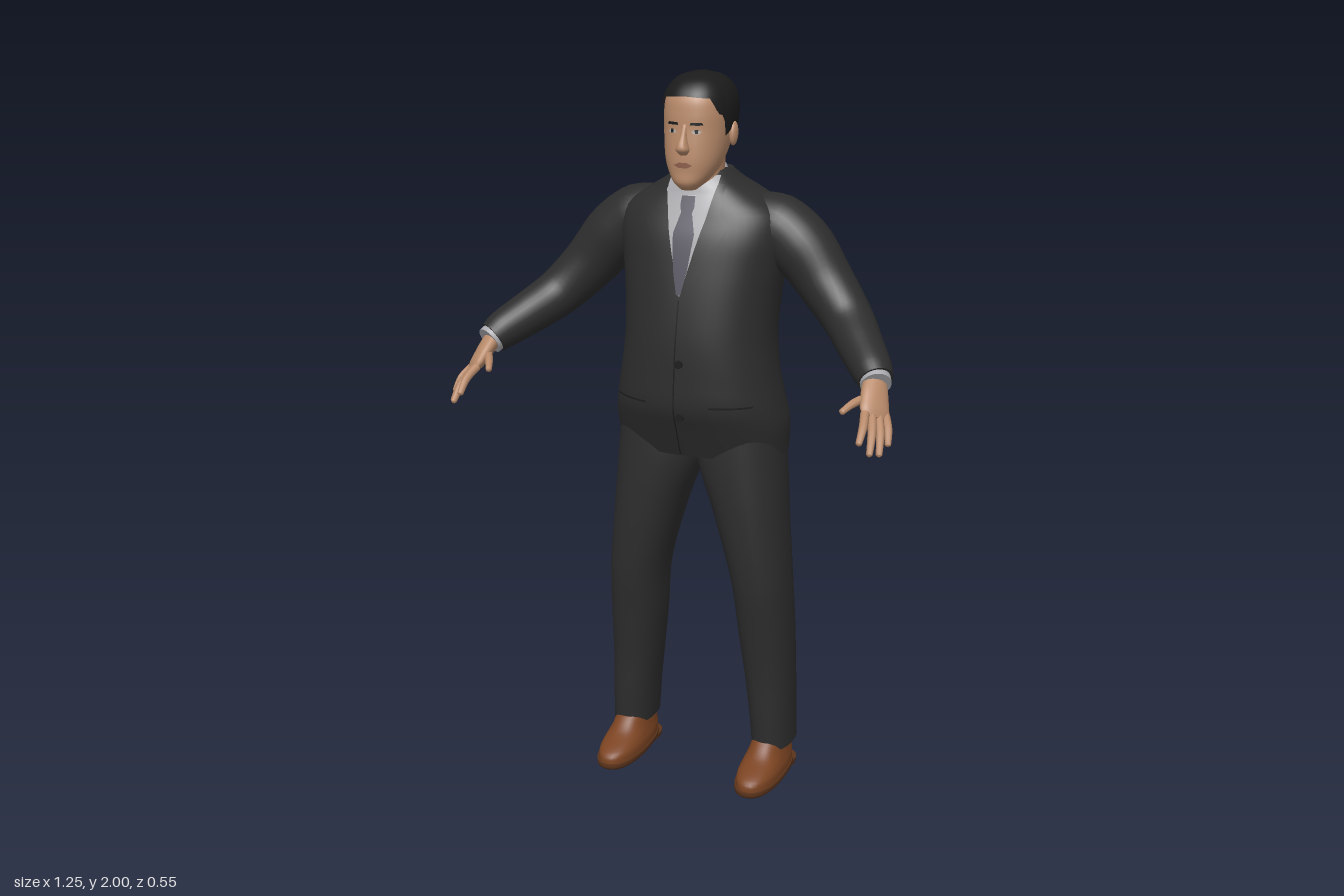
import * as THREE from 'three';

const mat = (name, color) => Object.assign(new THREE.MeshStandardMaterial({ color }), { name });
const V = (x, y, z) => new THREE.Vector3(x, y, z);

// Smooth interpolation of a profile of rows [y, halfWidth, zFront, zBack, xCentre]
function at(rows, y) {
  const last = rows.length - 1;
  let i = 0;
  while (i < last - 1 && y > rows[i + 1][0]) i++;
  const a = rows[i], b = rows[i + 1], p = rows[Math.max(i - 1, 0)], q = rows[Math.min(i + 2, last)];
  const h = b[0] - a[0], t = THREE.MathUtils.clamp((y - a[0]) / h, 0, 1), t2 = t * t, t3 = t2 * t;
  return [1, 2, 3, 4].map(k => {
    const A = a[k] ?? 0, B = b[k] ?? 0, m0 = (B - (p[k] ?? 0)) / (b[0] - p[0]), m1 = ((q[k] ?? 0) - A) / (q[0] - a[0]);
    return (2 * t3 - 3 * t2 + 1) * A + (t3 - 2 * t2 + t) * h * m0 + (3 * t2 - 2 * t3) * B + (t3 - t2) * h * m1;
  });
}

const N = 2.3; // roundness of every horizontal section
const pw = v => Math.sign(v) * Math.abs(v) ** (2 / N);
function surf(rows, y, a) {
  const [rx, zf, zb, cx] = at(rows, y);
  return V(cx + rx * pw(Math.sin(a)), y, (zf + zb) / 2 + (zf - zb) / 2 * pw(Math.cos(a)));
}
function frontZ(rows, x, y) {
  const [rx, zf, zb, cx] = at(rows, y);
  const k = Math.min(Math.abs(x - cx) / rx, 1);
  return (zf + zb) / 2 + (zf - zb) / 2 * (1 - k ** N) ** (1 / N);
}

// Skin over closed rings of points, with flat end caps
function loft(rings, capped = true) {
  const pos = [], idx = [], n = rings[0].length;
  rings.forEach(r => r.forEach(p => pos.push(p.x, p.y, p.z)));
  for (let i = 0; i < rings.length - 1; i++) for (let j = 0; j < n; j++) {
    const a = i * n + j, b = i * n + (j + 1) % n;
    idx.push(a, b, a + n, b, b + n, a + n);
  }
  if (capped) [rings[0], rings[rings.length - 1]].forEach((r, end) => {
    const o = pos.length / 3, c = V(0, 0, 0);
    r.forEach(p => { pos.push(p.x, p.y, p.z); c.addScaledVector(p, 1 / n); });
    pos.push(c.x, c.y, c.z);
    for (let j = 0; j < n; j++) {
      const k = o + (j + 1) % n;
      idx.push(o + n, end ? o + j : k, end ? k : o + j);
    }
  });
  return geometry(pos, idx);
}
function geometry(pos, idx) {
  const g = new THREE.BufferGeometry();
  g.setAttribute('position', new THREE.Float32BufferAttribute(pos, 3));
  g.setIndex(idx);
  g.computeVertexNormals();
  return g;
}

const circle = (n, f) => Array.from({ length: n }, (_, j) => f(j / n * Math.PI * 2));
function body(rows, steps = 30, sides = 40) {
  const y0 = rows[0][0], y1 = rows[rows.length - 1][0];
  return loft(Array.from({ length: steps + 1 }, (_, i) => {
    const y = y0 + (y1 - y0) * i / steps;
    return circle(sides, a => surf(rows, y, a));
  }));
}

// Tapered limb through points [x, y, z, ru, rv]; ref sets the direction of ru
function sweep(pts, ref = V(0, 1, 0), steps = 20, sides = 20) {
  const curve = new THREE.CatmullRomCurve3(pts.map(p => V(p[0], p[1], p[2])));
  return loft(Array.from({ length: steps + 1 }, (_, i) => {
    const s = i / steps, f = s * (pts.length - 1), k = Math.min(Math.floor(f), pts.length - 2);
    const r = q => THREE.MathUtils.lerp(pts[k][q] ?? pts[k][3], pts[k + 1][q] ?? pts[k + 1][3], f - k);
    const c = curve.getPoint(s), t = curve.getTangent(s);
    const u = ref.clone().addScaledVector(t, -ref.dot(t)).normalize(), v = t.clone().cross(u);
    return circle(sides, a => c.clone().addScaledVector(u, r(3) * Math.cos(a)).addScaledVector(v, r(4) * Math.sin(a)));
  }));
}

// Thin panel lying on the front of a body; edges are rows [y, xLeft, xRight]
function panel(rows, edges, off, nx = 8, ny = 24) {
  const pos = [], idx = [], y0 = edges[0][0], y1 = edges[edges.length - 1][0];
  for (let i = 0; i <= ny; i++) {
    const y = y0 + (y1 - y0) * i / ny;
    let k = 0;
    while (k < edges.length - 2 && y > edges[k + 1][0]) k++;
    const e = edges[k], f = edges[k + 1], t = (y - e[0]) / (f[0] - e[0]);
    for (let j = 0; j <= nx; j++) {
      const x = THREE.MathUtils.lerp(e[1] + (f[1] - e[1]) * t, e[2] + (f[2] - e[2]) * t, j / nx);
      pos.push(x, y, frontZ(rows, x, y) + off);
      if (i < ny && j < nx) {
        const a = i * (nx + 1) + j, b = a + nx + 1;
        idx.push(a, a + 1, b, a + 1, b + 1, b);
      }
    }
  }
  return geometry(pos, idx);
}
function mirrored(g) {
  const m = g.clone().scale(-1, 1, 1), ix = m.index;
  for (let i = 0; i < ix.count; i += 3) {
    const t = ix.getX(i);
    ix.setX(i, ix.getX(i + 1));
    ix.setX(i + 1, t);
  }
  return m;
}

const JACKET = [[0.975, .24, .04, -.25], [1.06, .244, .075, -.262], [1.12, .234, .098, -.26], [1.2, .219, .1, -.246],
  [1.3, .208, .096, -.252], [1.4, .212, .083, -.266], [1.5, .224, .064, -.27], [1.58, .235, .044, -.268],
  [1.64, .222, .02, -.255], [1.69, .15, 0, -.225], [1.72, .1, -.01, -.195], [1.745, .075, -.03, -.168]];
const LEG = [[.09, .058, -.018, -.204, .218], [.2, .062, -.012, -.203, .213], [.3, .067, -.008, -.2, .206],
  [.45, .075, .01, -.195, .196], [.6, .08, .03, -.19, .185], [.8, .1, .04, -.205, .15],
  [.95, .121, .04, -.22, .119], [1.05, .115, .035, -.215, .115]];
const HEAD = [[1.703, .02, .035, -.01], [1.72, .04, .052, -.05], [1.75, .062, .053, -.09], [1.78, .074, .054, -.12],
  [1.82, .082, .051, -.15], [1.86, .086, .046, -.165], [1.9, .088, .043, -.172], [1.94, .082, .034, -.168],
  [1.97, .062, .008, -.145], [1.985, .03, -.03, -.1]];
const HAIR = [[1.78, .07, .03, -.155], [1.82, .086, .047, -.176], [1.86, .092, .05, -.185], [1.9, .095, .05, -.188],
  [1.94, .09, .042, -.184], [1.97, .074, .021, -.165], [1.99, .048, -.012, -.13], [2, .008, -.06, -.08]];
const HAIRLINE = [[0, 1.945], [.7, 1.94], [.95, 1.9], [1.15, 1.895], [1.25, 1.84], [1.45, 1.85], [1.6, 1.875], [1.85, 1.82], [2.1, 1.79], [3.15, 1.782]];

export function createModel() {
  const model = new THREE.Group();
  model.name = 'manInSuit';
  const suit = mat('suitCharcoal', 0x2d2d2d), trim = mat('suitTrim', 0x1d1d1d), hairMat = mat('hairBlack', 0x1b1b1c);
  const skin = mat('skin', 0xb88a6a), shirt = mat('shirtGrey', 0xa9a9ad), tie = mat('tieGrey', 0x54525e);
  const shoe = mat('shoeBrown', 0x7c4422), sole = mat('soleBrown', 0x5a331b), lip = mat('lips', 0x8f5f4c), eye = mat('eyeWhite', 0xb5aaa2);

  const add = (name, g, m) => {
    const mesh = new THREE.Mesh(g, m);
    mesh.name = name;
    model.add(mesh);
  };
  const pair = (name, g, m) => {
    add(name + 'Left', g, m);
    add(name + 'Right', mirrored(g), m);
  };

  // Jacket with shirt front, tie, lapels, flaps and buttons
  add('jacket', body(JACKET, 50, 56), suit);
  add('shirtFront', panel(JACKET, [[1.43, -.002, .002], [1.6, -.047, .047], [1.7, -.07, .07], [1.735, -.068, .068]], .004), shirt);
  add('tie', panel(JACKET, [[1.435, -.006, .006], [1.5, -.02, .02], [1.59, -.03, .03], [1.645, -.015, .015], [1.65, -.018, .018], [1.685, -.024, .024]], .011), tie);
  pair('shirtCollarWing', panel(JACKET, [[1.625, .036, .038], [1.66, .02, .055], [1.7, .018, .068]], .013), shirt);
  pair('lapel', panel(JACKET, [[1.42, 0, .012], [1.6, .046, .108], [1.625, .053, .118], [1.635, .055, .09], [1.715, .07, .088]], .009), suit);
  pair('pocketFlap', panel(JACKET, [[1.1, .095, .19], [1.135, .09, .195]], .008), suit);
  pair('pocketSeam', panel(JACKET, [[1.134, .09, .195], [1.139, .09, .195]], .009, 8, 1), trim);
  add('frontSeam', panel(JACKET, [[.98, -.014, -.01], [1.1, -.012, -.008], [1.42, -.003, .001]], .003, 1), trim);
  for (const y of [1.1, 1.25]) {
    const g = new THREE.CylinderGeometry(.011, .011, .008, 14).rotateX(Math.PI / 2);
    add('button', g.translate(.006, y, frontZ(JACKET, 0, y) + .003), trim);
  }
  add('backVent', new THREE.BoxGeometry(.005, .15, .008).translate(0, 1.06, -.26), trim);

  // Arms, cuffs and hands
  pair('sleeve', sweep([[.12, 1.61, -.12, .075], [.2, 1.592, -.125, .09], [.27, 1.543, -.12, .088], [.345, 1.455, -.105, .076],
    [.42, 1.375, -.065, .067], [.48, 1.325, .01, .06], [.53, 1.286, .075, .053], [.548, 1.268, .1, .046]], undefined, 36, 28), suit);
  pair('cuff', sweep([[.54, 1.277, .088, .041], [.553, 1.261, .113, .04]], undefined, 2), shirt);
  const across = V(-.6, .22, .77);
  pair('palm', sweep([[.545, 1.272, .095, .032, .025], [.556, 1.24, .132, .04, .022], [.567, 1.207, .165, .044, .018],
    [.573, 1.192, .18, .036, .01]], across, 14), skin);
  const tips = [[.615, 1.135, .203], [.603, 1.118, .237], [.586, 1.125, .264], [.56, 1.152, .272]];
  const digit = (name, a, b, c) => pair(name, sweep([[...a, .012], [...b, .011], [...c, .008],
    [c[0] + (c[0] - b[0]) * .08, c[1] + (c[1] - b[1]) * .08, c[2] + (c[2] - b[2]) * .08, .003]], across, 12, 10), skin);
  tips.forEach((t, i) => {
    const base = V(.57, 1.201, .17).addScaledVector(across, -.032 + i * .0213);
    const mid = base.clone().lerp(V(...t), .55).add(V(.004, .006, .002));
    digit('finger', base.toArray(), mid.toArray(), t);
  });
  digit('thumb', [.546, 1.237, .137], [.517, 1.228, .185], [.498, 1.213, .222]);

  // Trousers and shoes
  pair('trouserLeg', body(LEG, 40), suit);
  pair('shoeUpper', body([[.018, .06, .116, -.19, .215], [.045, .06, .111, -.192, .215], [.06, .056, .085, -.19, .215],
    [.08, .051, .03, -.186, .215], [.115, .045, -.015, -.18, .215]], 16), shoe);
  pair('sole', body([[.006, .06, .115, -.19, .215], [.012, .064, .122, -.194, .215], [.024, .064, .123, -.194, .215]], 4), sole);
  pair('heel', body([[0, .056, -.08, -.192, .215], [.015, .058, -.08, -.194, .215]], 1), sole);

  // Neck and tilted shirt collar
  add('neck', body([[1.64, .064, -.005, -.14], [1.72, .061, .002, -.138], [1.8, .064, .015, -.14]], 10), skin);
  const collarRing = (rx, rz, front, back) => circle(36, a =>
    V(rx * Math.sin(a), front + (back - front) * (1 - Math.cos(a)) / 2, -.07 + rz * Math.cos(a)));
  add('shirtCollar', loft([collarRing(.079, .088, 1.645, 1.725), collarRing(.07, .081, 1.686, 1.765), collarRing(.06, .068, 1.684, 1.762)], false), shirt);

  // Head, face and hair
  add('head', body(HEAD, 36), skin);
  add('nose', body([[1.797, .01, .06, .03], [1.81, .018, .075, .03], [1.824, .014, .074, .03], [1.85, .008, .058, .03], [1.875, .008, .046, .03]], 14, 18), skin);
  pair('ear', new THREE.SphereGeometry(1, 14, 10).scale(.011, .032, .02).rotateX(-.15).translate(.092, 1.842, -.07), skin);
  pair('eye', panel(HEAD, [[1.851, .026, .04], [1.856, .02, .046], [1.862, .026, .04]], .002, 4, 4), eye);
  pair('iris', panel(HEAD, [[1.852, .03, .037], [1.862, .029, .038]], .003, 2, 2), hairMat);
  pair('eyebrow', panel(HEAD, [[1.873, .016, .05], [1.88, .018, .046]], .003, 6, 2), hairMat);
  add('mouth', panel(HEAD, [[1.764, -.012, .012], [1.771, -.026, .026], [1.778, -.01, .01]], .003, 6, 4), lip);
  const edge = a => {
    const d = Math.min(a, 2 * Math.PI - a), k = HAIRLINE.findIndex(h => h[0] > d), p = HAIRLINE[k - 1], q = HAIRLINE[k];
    return THREE.MathUtils.lerp(p[1], q[1], (d - p[0]) / (q[0] - p[0]));
  };
  add('hair', loft(Array.from({ length: 21 }, (_, i) => circle(64, a => {
    const e = edge(a);
    return surf(HAIR, e + (2 - e) * Math.sin(i / 20 * Math.PI / 2), a);
  })).map((r, i, all) => i ? r : all[0]), false), hairMat);
  add('crown', new THREE.SphereGeometry(1, 16, 8).scale(.03, .008, .045).translate(0, 1.992, -.07), hairMat);

  return model;
}
